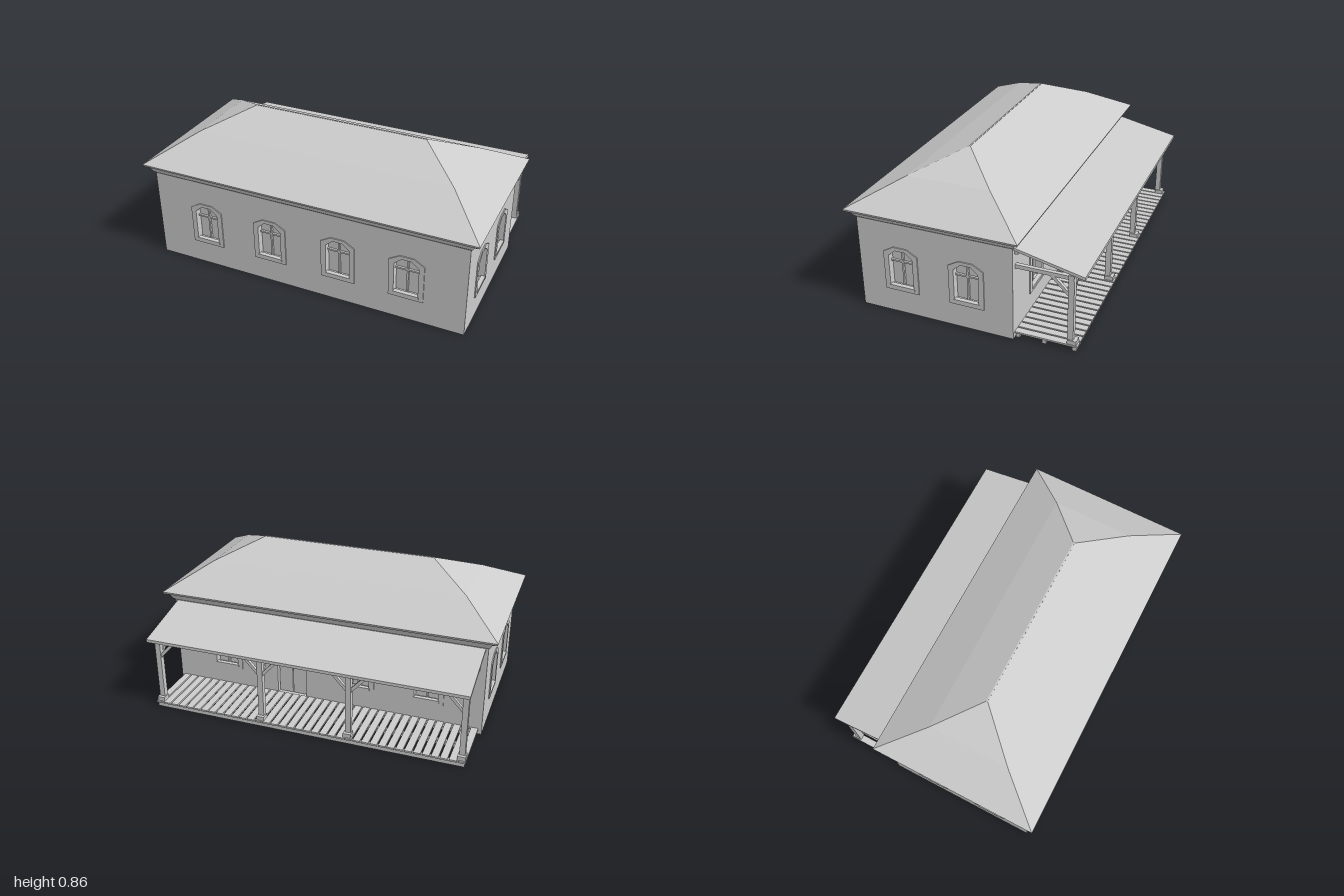
import * as THREE from 'three';

const grey = new THREE.MeshStandardMaterial({ color: 0xcccccc, flatShading: true, side: THREE.DoubleSide });
const X = 0.945, ZF = 0.61, ZB = -0.28, ZC = (ZF + ZB) / 2, H = 0.57, T = 0.035;

function add(parent, name, geometry, x = 0, y = 0, z = 0) {
  const mesh = new THREE.Mesh(geometry, grey);
  mesh.name = name;
  mesh.position.set(x, y, z);
  parent.add(mesh);
  return mesh;
}

const box = (parent, name, w, h, d, x, y, z) => add(parent, name, new THREE.BoxGeometry(w, h, d), x, y, z);

// Square timber between two points
function beam(parent, name, a, b, size) {
  const from = new THREE.Vector3(...a), to = new THREE.Vector3(...b);
  const mesh = box(parent, name, size, size, from.distanceTo(to), 0, 0, 0);
  mesh.position.copy(from).lerp(to, 0.5);
  mesh.lookAt(to);
  return mesh;
}

// Outline with a low peaked head, used for openings and their surrounds
function peaked(target, u, w, bottom, shoulder, top) {
  target.moveTo(u - w / 2, bottom);
  target.lineTo(u + w / 2, bottom);
  target.lineTo(u + w / 2, shoulder);
  target.lineTo(u + w * 0.2, top);
  target.lineTo(u - w * 0.2, top);
  target.lineTo(u - w / 2, shoulder);
  target.closePath();
  return target;
}

const extrude = (shape, depth) => new THREE.ExtrudeGeometry(shape, { depth, bevelEnabled: false });

// One wall with recessed windows and an optional door; the outside is at local z = 0
function makeWall(name, width, windows, door) {
  const wall = new THREE.Group();
  wall.name = name;
  const shape = new THREE.Shape();
  shape.moveTo(-width / 2, 0);
  shape.lineTo(width / 2, 0);
  shape.lineTo(width / 2, H);
  shape.lineTo(-width / 2, H);
  shape.closePath();
  for (const u of windows) shape.holes.push(peaked(new THREE.Path(), u, 0.14, 0.16, 0.35, 0.385));
  if (door !== undefined) shape.holes.push(peaked(new THREE.Path(), door, 0.18, 0.03, 0.37, 0.4));
  add(wall, 'wallFace', extrude(shape, T), 0, 0, -T);
  for (const u of windows) {
    const surround = peaked(new THREE.Shape(), u, 0.2, 0.14, 0.37, 0.405);
    surround.holes.push(peaked(new THREE.Path(), u, 0.14, 0.16, 0.35, 0.385));
    add(wall, 'windowSurround', extrude(surround, 0.006));
    box(wall, 'windowSill', 0.15, 0.014, 0.025, u, 0.163, -0.003);
    box(wall, 'windowMullion', 0.01, 0.22, 0.012, u, 0.27, -0.024);
    box(wall, 'windowTransom', 0.14, 0.01, 0.012, u, 0.31, -0.024);
  }
  if (door !== undefined) {
    for (const s of [-1, 1]) box(wall, 'doorLeaf', 0.084, 0.33, 0.012, door + s * 0.044, 0.2, -0.026);
  }
  return wall;
}

// Lofts quad skin through rectangles given as [x half-width, y, back z, front z]
function loftRects(sections) {
  const pos = [], index = [];
  for (const [x, y, b, f] of sections) pos.push(-x, y, f, x, y, f, x, y, b, -x, y, b);
  for (let s = 0; s < sections.length - 1; s++) {
    for (let i = 0; i < 4; i++) {
      const a = s * 4 + i, n = s * 4 + (i + 1) % 4;
      index.push(a, n, n + 4, a, n + 4, a + 4);
    }
  }
  const g = new THREE.BufferGeometry();
  g.setAttribute('position', new THREE.Float32BufferAttribute(pos, 3));
  g.setIndex(index);
  g.computeVertexNormals();
  return g;
}

export function createModel() {
  const house = new THREE.Group();
  house.name = 'house';

  // Walls around an inset core that closes the window recesses
  box(house, 'core', 2 * (X - T), H, ZF - ZB - 2 * T, 0, H / 2, ZC);
  const front = makeWall('frontWall', 2 * X, [-0.62, -0.21, 0.21, 0.61]);
  front.position.z = ZF;
  const back = makeWall('backWall', 2 * X, [-0.62, 0.21, 0.62], -0.2);
  back.position.z = ZB;
  back.rotation.y = Math.PI;
  house.add(front, back);
  for (const s of [-1, 1]) {
    const side = makeWall(s > 0 ? 'leftWall' : 'rightWall', ZF - ZB - 2 * T,
      [0.36, -0.02].map(z => -s * (z - ZC)));
    side.position.set(s * X, 0, ZC);
    side.rotation.y = s * Math.PI / 2;
    house.add(side);
  }

  // Flared cornice under the eaves, then the hipped roof
  add(house, 'cornice', loftRects([
    [0.94, 0.54, -0.275, 0.605], [0.955, 0.555, -0.29, 0.62],
    [0.965, 0.575, -0.3, 0.63], [0.995, 0.595, -0.325, 0.65],
  ]));
  add(house, 'hippedRoof', loftRects([
    [0.995, 0.592, -0.325, 0.65], [1, 0.605, -0.33, 0.655],
    [0.77, 0.745, -0.085, 0.39], [0.525, 0.855, 0.138, 0.142],
  ]));
  box(house, 'roofRidge', 1.05, 0.006, 0.008, 0, 0.853, 0.14);

  const porch = new THREE.Group();
  porch.name = 'porch';
  house.add(porch);
  const PZ = -0.58, posts = [-0.9, -0.26, 0.26, 0.9];

  // Sloping porch roof with rafters
  const slope = new THREE.Shape([[0.27, 0.545], [0.655, 0.458], [0.655, 0.44], [0.27, 0.53]]
    .map(p => new THREE.Vector2(...p)));
  const roof = add(porch, 'porchRoof', extrude(slope, 1.86), 0.93, 0, 0);
  roof.rotation.y = Math.PI / 2;
  roof.position.x = -0.93;
  roof.scale.set(1, 1, 1);
  for (let i = 0; i < 12; i++) {
    const x = -0.9 + i * 1.8 / 11;
    beam(porch, 'rafter', [x, 0.522, -0.28], [x, 0.44, -0.635], 0.018);
  }

  // Posts, tie beams and braces
  box(porch, 'porchBeam', 1.84, 0.03, 0.03, 0, 0.43, PZ);
  box(porch, 'wallBeam', 1.84, 0.025, 0.02, 0, 0.515, ZB - 0.01);
  for (const x of posts) {
    box(porch, 'post', 0.032, 0.4, 0.032, x, 0.23, PZ);
    box(porch, 'postFoot', 0.045, 0.03, 0.05, x, 0.045, PZ - 0.01);
    beam(porch, 'tieBeam', [x, 0.425, ZB], [x, 0.425, PZ], 0.022);
    beam(porch, 'depthBrace', [x, 0.31, PZ], [x, 0.42, PZ + 0.11], 0.018);
    for (const s of [-1, 1]) {
      if (Math.abs(x + s * 0.1) < 0.92) beam(porch, 'sideBrace', [x, 0.31, PZ], [x + s * 0.1, 0.42, PZ], 0.018);
    }
  }

  // Boarded deck on joists
  for (const z of [-0.295, -0.44, -0.605]) box(porch, 'joist', 1.84, 0.026, 0.022, 0, 0.013, z);
  const boards = 38, pitch = 1.86 / boards;
  for (let i = 0; i < boards; i++) {
    box(porch, 'deckBoard', pitch * 0.82, 0.01, 0.345, -0.93 + (i + 0.5) * pitch, 0.031, -0.452);
  }
  return house;
}
